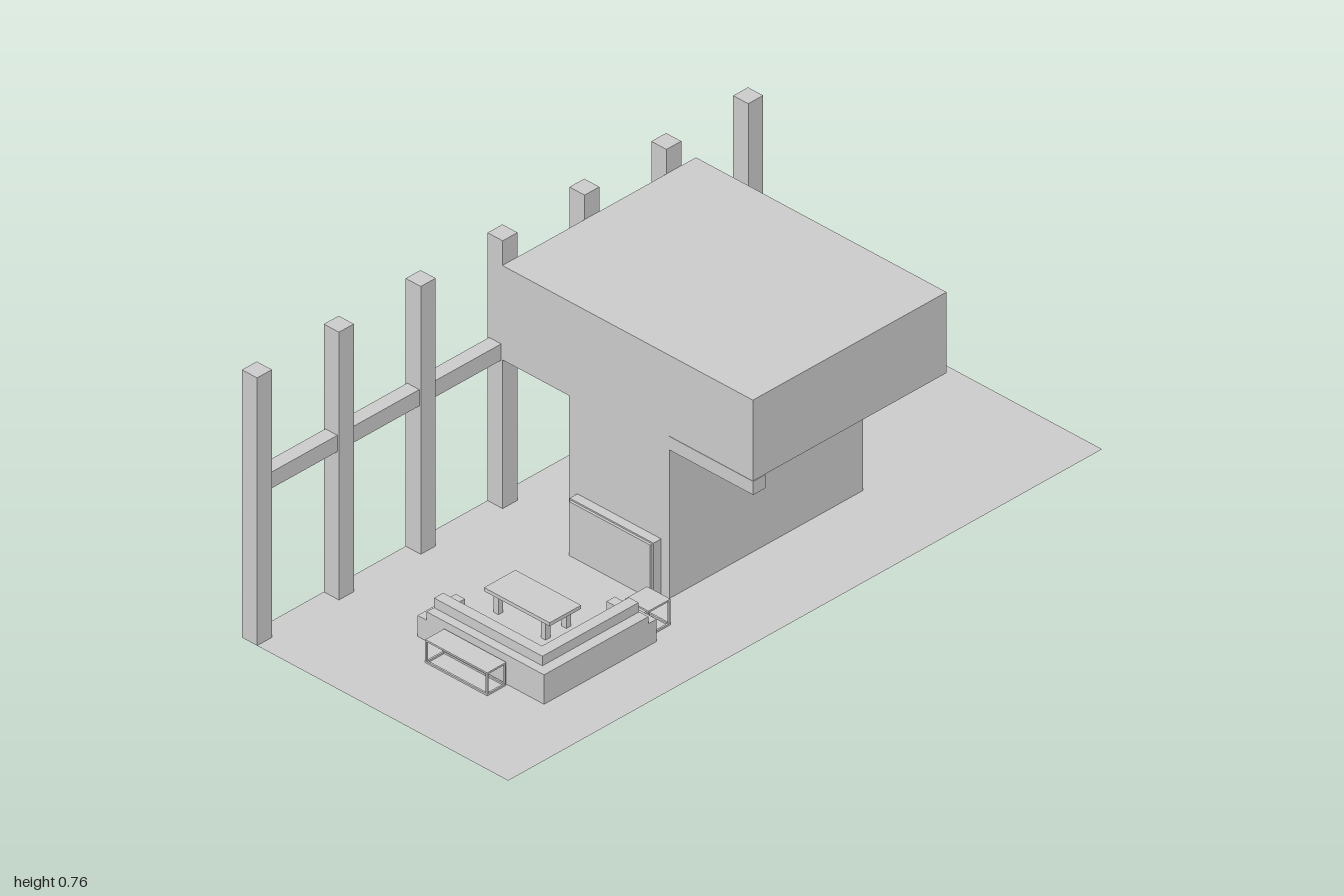
import * as THREE from 'three';

const material = new THREE.MeshStandardMaterial({ color: 0xcccccc, flatShading: true });
const FLOOR = 0.012;

// Box given by its lower and upper limits on each axis
function box(parent, name, [x0, x1], [y0, y1], [z0, z1]) {
  const mesh = new THREE.Mesh(new THREE.BoxGeometry(x1 - x0, y1 - y0, z1 - z0), material);
  mesh.position.set((x0 + x1) / 2, (y0 + y1) / 2, (z0 + z1) / 2);
  mesh.name = name;
  parent.add(mesh);
  return mesh;
}

function group(parent, name) {
  const g = new THREE.Group();
  g.name = name;
  parent.add(g);
  return g;
}

// Side table: thin top on an open frame of slim bars
function sideTable(parent, name, [x0, x1], [z0, z1], height) {
  const g = group(parent, name);
  const t = 0.005;
  box(g, 'tableTop', [x0, x1], [height - t, height], [z0, z1]);
  for (const x of [x0, x1 - t]) {
    for (const z of [z0, z1 - t]) box(g, 'leg', [x, x + t], [FLOOR, height - t], [z, z + t]);
    box(g, 'sideRail', [x, x + t], [FLOOR, FLOOR + t], [z0 + t, z1 - t]);
  }
  for (const z of [z0, z1 - t]) box(g, 'longRail', [x0 + t, x1 - t], [FLOOR, FLOOR + t], [z, z + t]);
}

export function createModel() {
  const model = new THREE.Group();
  model.name = 'loungePavilion';

  // Floor sheet
  const floorMaterial = material.clone();
  floorMaterial.side = THREE.DoubleSide;
  const floor = new THREE.Mesh(new THREE.PlaneGeometry(0.88, 2).rotateX(-Math.PI / 2), floorMaterial);
  floor.position.y = FLOOR;
  floor.name = 'floor';
  model.add(floor);

  // T-shaped core, one solid extruded along its depth
  const core = group(model, 'core');
  const outline = [
    [-0.17, 0.008], [0.162, 0.008], [0.162, 0.47], [0.438, 0.47],
    [0.438, 0.698], [-0.39, 0.698], [-0.39, 0.47], [-0.17, 0.47],
  ].map(([x, y]) => new THREE.Vector2(x, y));
  const block = new THREE.Mesh(
    new THREE.ExtrudeGeometry(new THREE.Shape(outline), { depth: 0.652, bevelEnabled: false }), material);
  block.position.z = -0.478;
  block.name = 'coreBlock';
  core.add(block);

  // Front beams under the overhangs
  box(core, 'rightBeam', [-0.39, -0.17], [0.432, 0.47], [0.133, 0.174]);
  box(core, 'leftBeam', [0.162, 0.44], [0.432, 0.47], [0.133, 0.175]);

  // Row of posts tied by a rail
  const colonnade = group(model, 'colonnade');
  for (let i = 0; i < 7; i++) {
    const z = 0.975 - i * 0.2757;
    box(colonnade, 'post', [-0.44, -0.39], [FLOOR, 0.767], [z - 0.025, z + 0.025]);
  }
  box(colonnade, 'rail', [-0.435, -0.395], [0.428, 0.474], [-0.679, 0.975]);

  // Wall panel with a slightly inset face
  const panel = group(model, 'wallPanel');
  box(panel, 'panelBody', [-0.142, 0.135], [FLOOR, 0.168], [0.174, 0.2]);
  box(panel, 'panelFace', [-0.138, 0.131], [FLOOR, 0.164], [0.2, 0.207]);

  // L-shaped sofa
  const sofa = group(model, 'sofa');
  box(sofa, 'longSeat', [-0.118, 0.235], [0.003, 0.055], [0.583, 0.662]);
  box(sofa, 'shortSeat', [0.148, 0.235], [0.003, 0.055], [0.355, 0.583]);
  box(sofa, 'longBack', [-0.118, 0.27], [0.003, 0.095], [0.662, 0.706]);
  box(sofa, 'shortBack', [0.228, 0.27], [0.003, 0.095], [0.355, 0.662]);
  box(sofa, 'longBackCushion', [-0.118, 0.24], [0.055, 0.122], [0.65, 0.681]);
  box(sofa, 'shortBackCushion', [0.208, 0.24], [0.055, 0.122], [0.357, 0.65]);
  box(sofa, 'longArm', [-0.148, -0.118], [0.003, 0.071], [0.577, 0.706]);
  box(sofa, 'shortArm', [0.132, 0.27], [0.003, 0.075], [0.327, 0.355]);

  // Coffee table
  const table = group(model, 'coffeeTable');
  box(table, 'tableTop', [-0.115, 0.102], [0.066, 0.076], [0.41, 0.516]);
  for (const x of [-0.085, 0.071]) {
    for (const z of [0.428, 0.498]) {
      box(table, 'leg', [x - 0.008, x + 0.008], [FLOOR, 0.066], [z - 0.008, z + 0.008]);
    }
  }

  sideTable(model, 'consoleTable', [-0.056, 0.149], [0.71, 0.774], 0.077);
  sideTable(model, 'endTable', [0.166, 0.243], [0.253, 0.327], 0.085);

  return model;
}
